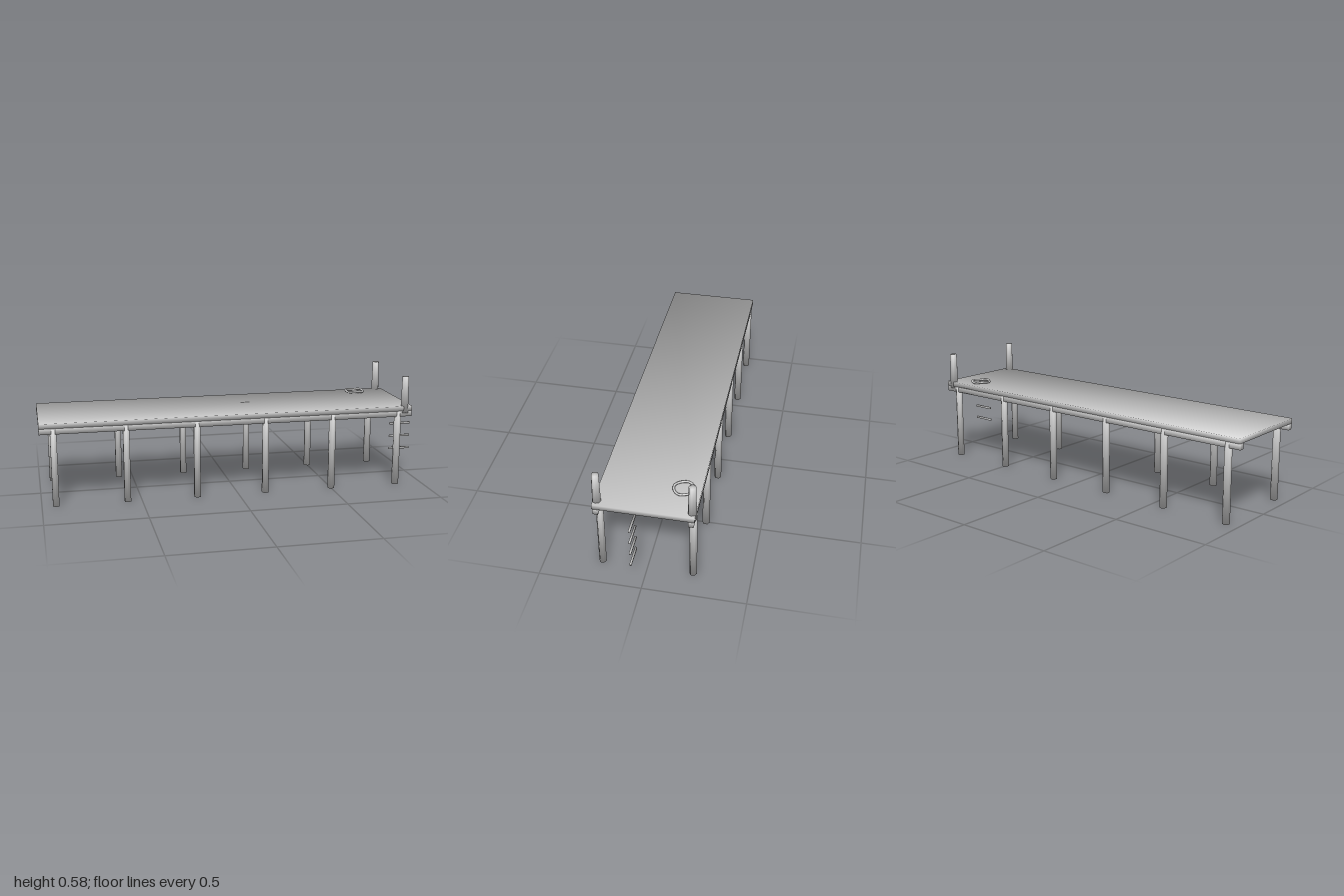
import * as THREE from 'three';
import { mergeVertices } from 'three/addons/utils/BufferGeometryUtils.js';

// Weld shared corners and blend their normals by face angle for soft shading.
function soften(source) {
  source.deleteAttribute('normal');
  source.deleteAttribute('uv');
  const g = mergeVertices(source, 1e-4);
  const pos = g.attributes.position, idx = g.index;
  const sums = Array.from({ length: pos.count }, () => new THREE.Vector3());
  for (let i = 0; i < idx.count; i += 3) {
    const ids = [0, 1, 2].map(k => idx.getX(i + k));
    const p = ids.map(id => new THREE.Vector3().fromBufferAttribute(pos, id));
    const n = p[1].clone().sub(p[0]).cross(p[2].clone().sub(p[0])).normalize();
    ids.forEach((id, k) => {
      const a = p[(k + 1) % 3].clone().sub(p[k]);
      const b = p[(k + 2) % 3].clone().sub(p[k]);
      sums[id].addScaledVector(n, a.angleTo(b));
    });
  }
  const normals = sums.flatMap(s => s.normalize().toArray());
  g.setAttribute('normal', new THREE.Float32BufferAttribute(normals, 3));
  return g;
}

export function createModel() {
  const dock = new THREE.Group();
  dock.name = 'dock';
  const grey = new THREE.MeshStandardMaterial({ color: 0xcccccc });
  grey.name = 'weathered grey';

  const add = (name, geometry, x, y, z) => {
    const mesh = new THREE.Mesh(geometry, grey);
    mesh.name = name;
    mesh.position.set(x, y, z);
    dock.add(mesh);
  };

  // Deck slab
  add('deck', soften(new THREE.BoxGeometry(1.93, 0.025, 0.478)), -0.035, 0.4125, 0);

  // Side beams, six hexagonal piles per side, and mooring posts at the far end
  const beam = soften(new THREE.BoxGeometry(1.93, 0.03, 0.026));
  const pile = soften(new THREE.CylinderGeometry(0.0185, 0.0185, 0.4, 6));
  const post = soften(new THREE.CylinderGeometry(0.018, 0.0215, 0.192, 8));
  for (const side of [-1, 1]) {
    const z = side * 0.222;
    add('sideBeam', beam, -0.035, 0.385, z);
    for (let i = 0; i < 6; i++) add('pile', pile, -0.93 + i * 0.3575, 0.2, z);
    add('mooringPost', post, 0.894, 0.485, z);
  }

  // Ladder rungs projecting from the end
  const rung = soften(new THREE.BoxGeometry(0.115, 0.01, 0.01));
  for (let i = 0; i < 4; i++) add('ladderRung', rung, 0.9425, 0.147 + i * 0.07, 0.047);

  // Slightly wavy rope loop lying on the deck
  const points = [];
  for (let i = 0; i < 24; i++) {
    const a = (i / 24) * Math.PI * 2;
    points.push(new THREE.Vector3(0.047 * Math.sin(a), 0.0025 * Math.cos(3 * a), 0.047 * Math.cos(a)));
  }
  const loop = new THREE.CatmullRomCurve3(points, true);
  add('ropeLoop', new THREE.TubeGeometry(loop, 36, 0.006, 8, true), 0.747, 0.4345, -0.155);

  return dock;
}
